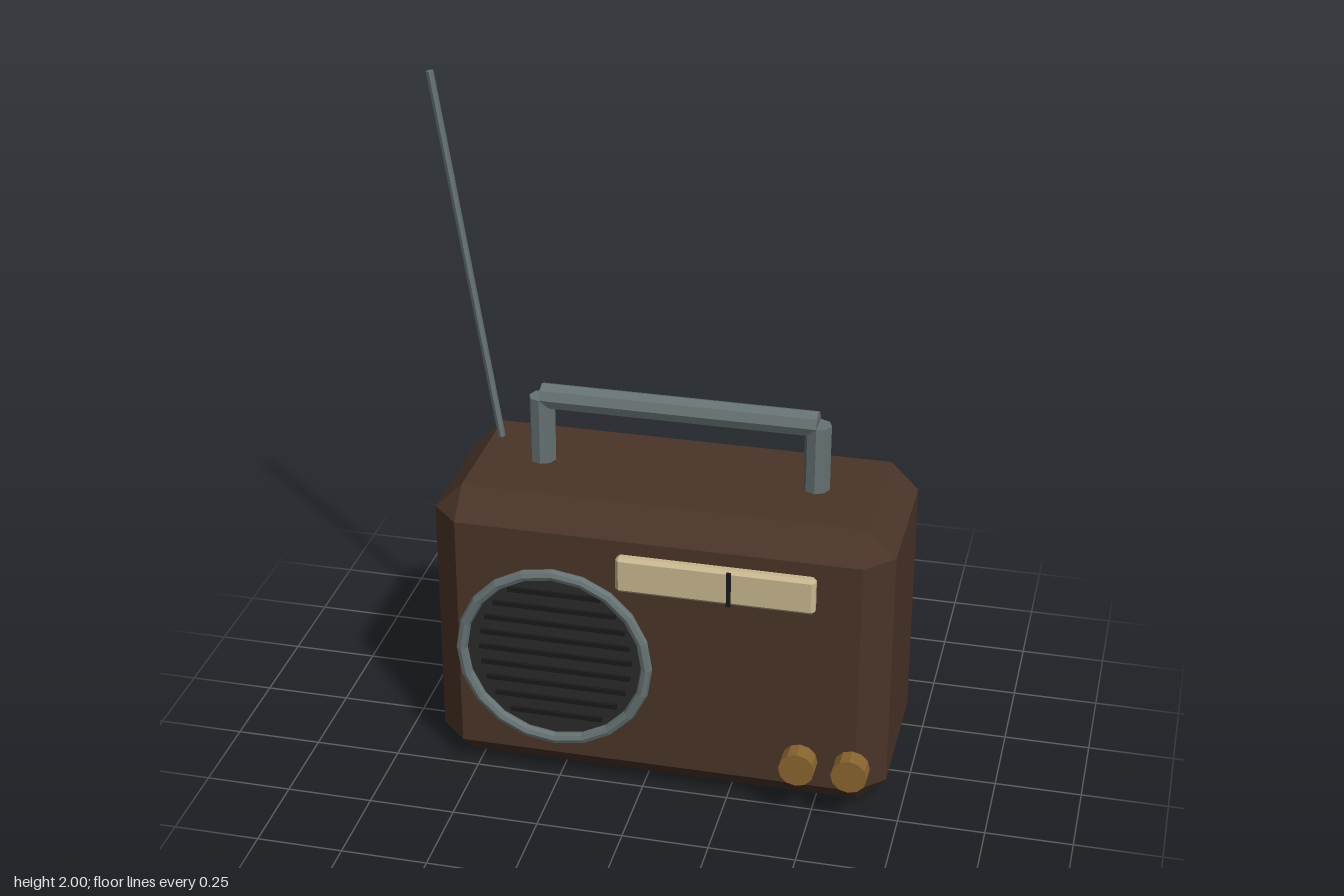
import * as THREE from 'three';
import { ConvexGeometry } from 'three/addons/geometries/ConvexGeometry.js';

const mat = (name, color) => {
  const m = new THREE.MeshStandardMaterial({ color, flatShading: true });
  m.name = name;
  return m;
};

// Box with its edges cut at 45 degrees and triangular corners
function chamferBox(w, h, d, c) {
  const pts = [];
  for (const x of [-1, 1]) for (const y of [-1, 1]) for (const z of [-1, 1]) {
    const X = w / 2, Y = h / 2, Z = d / 2;
    pts.push(
      new THREE.Vector3(x * X, y * (Y - c), z * (Z - c)),
      new THREE.Vector3(x * (X - c), y * Y, z * (Z - c)),
      new THREE.Vector3(x * (X - c), y * (Y - c), z * Z));
  }
  return new ConvexGeometry(pts);
}

export function createModel() {
  const group = new THREE.Group();
  const brown = mat('brown case', 0x4a3428);
  const metal = mat('grey metal', 0x667273);
  const cloth = mat('dark grille', 0x2a2a2a);
  const black = mat('black', 0x1a1a1a);
  const cream = mat('cream dial', 0xc8b890);
  const brass = mat('brass', 0x8a6530);

  const add = (name, geometry, material, x = 0, y = 0, z = 0) => {
    const mesh = new THREE.Mesh(geometry, material);
    mesh.name = name;
    mesh.position.set(x, y, z);
    group.add(mesh);
    return mesh;
  };
  // Straight round bar between two points
  const rod = (name, a, b, r, sides, material) => {
    const from = new THREE.Vector3(...a), to = new THREE.Vector3(...b);
    const dir = to.clone().sub(from);
    const mid = from.add(to).multiplyScalar(0.5);
    const mesh = add(name, new THREE.CylinderGeometry(r, r, dir.length(), sides), material, mid.x, mid.y, mid.z);
    mesh.quaternion.setFromUnitVectors(new THREE.Vector3(0, 1, 0), dir.normalize());
  };

  // Case
  add('case', chamferBox(1.326, 0.89, 0.574, 0.08), brown, 0.038, 0.445, -0.04);

  // Speaker: disc, slats and rim
  const sx = -0.25, sy = 0.43;
  rod('speakerDisc', [sx, sy, 0.255], [sx, sy, 0.27], 0.27, 20, cloth);
  for (let i = -4; i <= 4; i++) {
    const dy = i * 0.05;
    const width = 1.8 * Math.sqrt(0.25 ** 2 - dy ** 2);
    add('speakerSlat', new THREE.BoxGeometry(width, 0.014, 0.012), black, sx, sy + dy, 0.273);
  }
  add('speakerRim', new THREE.TorusGeometry(0.272, 0.017, 8, 20), metal, sx, sy, 0.289);

  // Tuning dial and needle
  add('dial', chamferBox(0.565, 0.11, 0.036, 0.01), cream, 0.218, 0.735, 0.29);
  add('dialNeedle', new THREE.BoxGeometry(0.012, 0.105, 0.008), black, 0.26, 0.735, 0.312);

  // Knobs
  for (const x of [0.465, 0.615]) {
    rod('knob', [x, 0.18, 0.272], [x, 0.18, 0.327], 0.052, 12, brass);
  }

  // Carrying handle
  const hz = -0.042;
  for (const x of [-0.362, 0.438]) {
    rod('handlePost', [x, 0.86, hz], [x, 1.09, hz], 0.038, 8, metal);
  }
  rod('handleBar', [-0.362, 1.092, hz], [0.438, 1.092, hz], 0.038, 8, metal);

  // Aerial
  rod('aerial', [-0.513, 0.85, -0.151], [-0.694, 1.998, -0.151], 0.011, 6, metal);

  return group;
}
